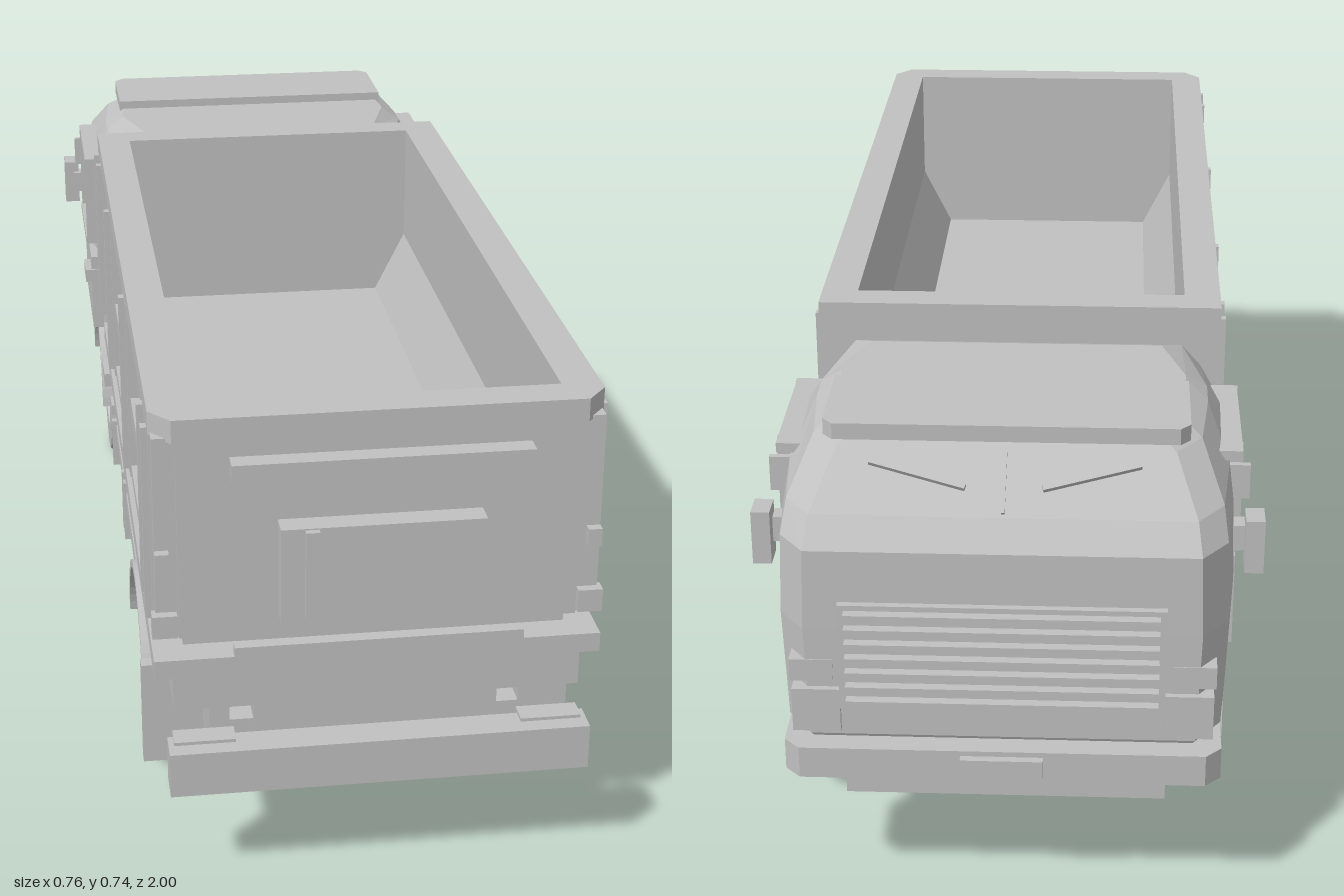
import * as THREE from 'three';

export function createModel() {
  const truck = new THREE.Group();
  truck.name = 'tipperTruck';
  const grey = new THREE.MeshStandardMaterial({ color: 0xc0c0c0, flatShading: true });
  grey.name = 'plain grey';

  const add = (name, geo, parent = truck) => {
    const m = new THREE.Mesh(geo, grey);
    m.name = name;
    parent.add(m);
    return m;
  };
  // box given by its limits
  const box = (name, x0, x1, y0, y1, z0, z1) => {
    const m = add(name, new THREE.BoxGeometry(Math.abs(x1 - x0), y1 - y0, z1 - z0));
    m.position.set((x0 + x1) / 2, (y0 + y1) / 2, (z0 + z1) / 2);
    return m;
  };
  // the same box on both sides
  const pair = (name, x0, x1, y0, y1, z0, z1) => {
    for (const s of [1, -1]) box(name, s * x0, s * x1, y0, y1, z0, z1);
  };
  const polygon = (pts) => new THREE.Shape(pts.map(([x, y]) => new THREE.Vector2(x, y)));
  const extrude = (shape, depth) =>
    new THREE.ExtrudeGeometry(shape, { depth, bevelEnabled: false, curveSegments: 14 });

  // ---- chassis and subframe
  box('chassis', -0.24, 0.24, 0.14, 0.245, -0.89, 0.93);
  box('chassisTop', -0.18, 0.18, 0.24, 0.285, -0.85, 0.94);
  pair('frameRail', 0.215, 0.245, 0.235, 0.27, -0.6, 0.93);
  box('subframe', -0.298, 0.298, 0.282, 0.34, -0.355, 0.955);
  box('subframeFlange', -0.325, 0.325, 0.34, 0.37, -0.355, 0.965);
  box('bedSpacer', -0.28, 0.28, 0.37, 0.4, -0.34, 0.92);

  // ---- load bed: two sloped side walls, end walls, floor and rim
  for (const s of [1, -1]) {
    const wall = polygon([[0.265, 0.71], [0.265, 0.53], [0.21, 0.42], [0.21, 0.4], [0.302, 0.4],
      [0.302, 0.51], [0.306, 0.62], [0.298, 0.71]].map(([x, y]) => [s * x, y]));
    add('bedSide', extrude(wall, 1.33)).position.z = -0.385;
  }
  box('bedFloor', -0.215, 0.215, 0.4, 0.42, -0.385, 0.945);
  box('bedFrontWall', -0.295, 0.295, 0.4, 0.71, -0.39, -0.345);
  box('tailgate', -0.288, 0.288, 0.4, 0.71, 0.9, 0.955);
  const hw = 0.323;
  const rim = polygon([[-hw, -0.92], [-hw + 0.03, -0.957], [hw - 0.03, -0.957], [hw, -0.92],
    [hw, 0.4], [-hw, 0.4]]);
  rim.holes.push(polygon([[-0.265, -0.9], [-0.265, 0.345], [0.265, 0.345], [0.265, -0.9]]));
  add('bedRim', extrude(rim, 0.035).rotateX(-Math.PI / 2)).position.y = 0.705;
  pair('bedLowerRail', 0.3, 0.32, 0.4, 0.42, -0.385, 0.945);
  pair('bedMiddleRail', 0.3, 0.318, 0.512, 0.54, -0.385, 0.945);
  for (const z of [0.9, 0.82, 0.395, -0.03, -0.3, -0.365]) {
    pair('bedPost', 0.295, 0.322, 0.4, 0.71, z - 0.018, z + 0.018);
    pair('bedPostRib', 0.32, 0.332, 0.41, 0.71, z - 0.008, z + 0.008);
  }
  pair('cornerPost', 0.285, 0.32, 0.4, 0.71, 0.925, 0.948);

  // ---- tailgate fittings
  box('tailgateBar', -0.213, 0.213, 0.655, 0.68, 0.95, 0.985);
  box('tailgateBox', -0.146, 0.146, 0.432, 0.58, 0.95, 0.99);
  box('tailgateHandle', -0.112, -0.092, 0.442, 0.578, 0.985, 1.0);
  box('tailgateSill', -0.21, 0.21, 0.37, 0.387, 0.95, 0.97);
  pair('tailgateHinge', 0.3, 0.32, 0.51, 0.538, 0.94, 0.962);
  pair('tailgateLatch', 0.29, 0.326, 0.405, 0.44, 0.94, 0.962);

  // ---- rear bumper
  box('rearBumper', -0.308, 0.308, 0.165, 0.235, 0.95, 1.0);
  pair('bumperBracket', 0.21, 0.3, 0.215, 0.24, 0.94, 0.975);
  pair('mudflap', 0.23, 0.333, 0.08, 0.25, 0.745, 0.768);

  // ---- wheels
  const tyre = [[0, -0.043], [0.135, -0.043], [0.148, -0.03], [0.148, 0.03], [0.139, 0.043],
    [0.088, 0.043], [0.082, 0.03], [0.036, 0.027], [0.036, 0.038], [0, 0.038]];
  const tyreGeo = new THREE.LatheGeometry(tyre.map(([r, y]) => new THREE.Vector2(r, y)), 22);
  const boltGeo = new THREE.CylinderGeometry(0.006, 0.006, 0.014, 6);
  for (const z of [0.588, -0.583]) for (const s of [1, -1]) {
    const wheel = new THREE.Group();
    wheel.name = 'wheel';
    add('tyre', tyreGeo, wheel);
    for (let i = 0; i < 5; i++) {
      const a = (i * 2 * Math.PI) / 5;
      add('wheelBolt', boltGeo, wheel).position.set(Math.cos(a) * 0.057, 0.034, Math.sin(a) * 0.057);
    }
    wheel.rotation.z = (-s * Math.PI) / 2;
    wheel.position.set(s * 0.27, 0.148, z);
    truck.add(wheel);
  }
  for (const s of [1, -1]) {
    const inner = add('innerTyre', new THREE.CylinderGeometry(0.136, 0.136, 0.035, 22));
    inner.rotation.z = Math.PI / 2;
    inner.position.set(s * 0.198, 0.148, 0.588);
  }

  // ---- arched fenders
  const arch = new THREE.Shape();
  arch.absarc(0, 0, 0.17, 0.1, Math.PI - 0.1, false);
  arch.absarc(0, 0, 0.157, Math.PI - 0.1, 0.1, true);
  const archGeo = extrude(arch, 0.1).rotateY(Math.PI / 2);
  for (const z of [0.588, -0.583]) for (const s of [1, -1]) {
    add('fender', archGeo).position.set(s > 0 ? 0.23 : -0.33, 0.148, z);
  }

  // ---- tanks, boxes and steps along the chassis
  pair('sideGuard', 0.24, 0.318, 0.222, 0.25, -0.13, 0.44);
  pair('toolBox', 0.24, 0.29, 0.165, 0.225, 0.17, 0.43);
  pair('fuelTank', 0.24, 0.3, 0.16, 0.225, -0.1, 0.11);
  for (const z of [0.115, 0.16]) pair('guardBracket', 0.24, 0.322, 0.16, 0.27, z - 0.008, z + 0.008);
  pair('guardEnd', 0.24, 0.325, 0.165, 0.255, -0.15, -0.135);
  pair('stepUpper', 0.24, 0.328, 0.235, 0.262, -0.44, -0.35);
  pair('stepLower', 0.24, 0.315, 0.165, 0.185, -0.43, -0.37);

  // ---- cab: loops stacked upwards [frontY, backY, frontZ, backZ, halfWidth]
  const levels = [
    [0.235, 0.28, -0.93, -0.41, 0.295],
    [0.285, 0.31, -0.955, -0.405, 0.33],
    [0.46, 0.46, -0.957, -0.405, 0.336],
    [0.585, 0.585, -0.955, -0.405, 0.332],
    [0.625, 0.645, -0.92, -0.407, 0.326],
    [0.69, 0.69, -0.83, -0.435, 0.295],
    [0.712, 0.712, -0.795, -0.49, 0.262],
  ];
  const pos = [], idx = [];
  for (const [yf, yb, zf, zb, w] of levels) {
    const half = [[w - 0.05, zf], [w - 0.012, zf + 0.05], [w, zf + 0.18],
      [w, Math.max(zb - 0.16, zf + 0.19)], [w - 0.035, zb]];
    const ring = [...half, ...half.slice().reverse().map(([x, z]) => [-x, z])];
    for (const [x, z] of ring) pos.push(x, yf + ((yb - yf) * (z - zf)) / (zb - zf), z);
  }
  const n = 10, top = (levels.length - 1) * n;
  for (let k = 0; k < levels.length - 1; k++) for (let i = 0; i < n; i++) {
    const a = k * n + i, b = k * n + ((i + 1) % n);
    idx.push(a, a + n, b + n, a, b + n, b);
  }
  for (let i = 1; i < n - 1; i++) idx.push(0, i, i + 1, top, top + i + 1, top + i);
  const cab = new THREE.BufferGeometry();
  cab.setAttribute('position', new THREE.Float32BufferAttribute(pos, 3));
  cab.setIndex(idx);
  cab.computeVertexNormals();
  add('cab', cab);

  // ---- roof visor and wipers
  const visor = polygon([[-0.265, 0.66], [0.265, 0.66], [0.265, 0.815], [0.25, 0.832],
    [-0.25, 0.832], [-0.265, 0.815]]);
  add('roofVisor', extrude(visor, 0.025).rotateX(-Math.PI / 2)).position.y = 0.702;
  for (const s of [1, -1]) {
    const wiper = add('wiper', new THREE.BoxGeometry(0.145, 0.008, 0.008).rotateY(-s * 0.28));
    wiper.rotation.x = -0.62;
    wiper.position.set(s * 0.125, 0.667, -0.87);
  }
  const divider = add('screenDivider', new THREE.BoxGeometry(0.005, 0.006, 0.1));
  divider.rotation.x = -0.62;
  divider.position.set(0, 0.659, -0.876);

  // ---- doors, windows, mirrors
  pair('door', 0.32, 0.341, 0.315, 0.465, -0.72, -0.47);
  pair('sideWindow', 0.31, 0.339, 0.495, 0.64, -0.715, -0.525);
  pair('windowSill', 0.32, 0.348, 0.48, 0.495, -0.73, -0.51);
  pair('windowHead', 0.3, 0.345, 0.64, 0.655, -0.75, -0.51);
  pair('windowPillar', 0.31, 0.346, 0.48, 0.655, -0.73, -0.718);
  pair('windowPillar', 0.31, 0.346, 0.48, 0.655, -0.522, -0.51);
  pair('doorHandle', 0.33, 0.353, 0.415, 0.44, -0.53, -0.465);
  pair('mirrorArm', 0.32, 0.36, 0.51, 0.55, -0.785, -0.755);
  pair('mirror', 0.35, 0.378, 0.485, 0.57, -0.81, -0.765);
  pair('mirrorBracket', 0.32, 0.357, 0.575, 0.63, -0.745, -0.735);

  // ---- grille, lamps and front bumper
  box('grilleBack', -0.235, 0.235, 0.335, 0.505, -0.967, -0.95);
  for (let i = 0; i < 7; i++) {
    const y = 0.345 + i * 0.0235;
    box('grilleSlat', -0.225, 0.225, y, y + 0.011, -0.982, -0.96);
  }
  pair('headlamp', 0.235, 0.305, 0.295, 0.365, -0.965, -0.9);
  pair('indicator', 0.245, 0.308, 0.375, 0.41, -0.958, -0.9);
  const bumper = polygon([[-0.318, 0.87], [0.318, 0.87], [0.318, 0.965], [0.295, 0.988],
    [-0.295, 0.988], [-0.318, 0.965]]);
  add('frontBumper', extrude(bumper, 0.05).rotateX(-Math.PI / 2)).position.y = 0.23;
  box('plateHolder', -0.06, 0.06, 0.242, 0.272, -1.0, -0.985);
  return truck;
}
